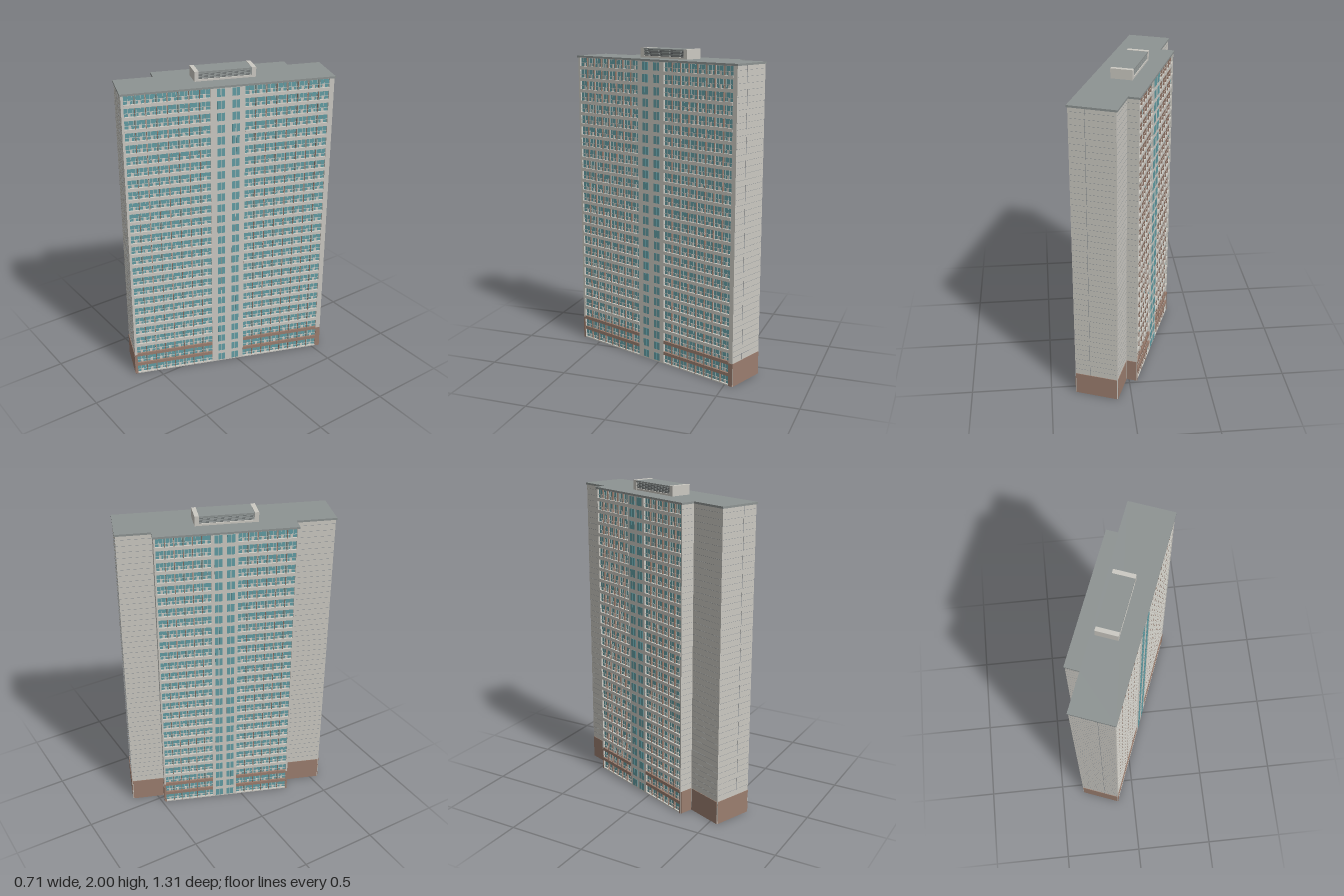
import * as THREE from 'three';
import { mergeGeometries } from 'three/addons/utils/BufferGeometryUtils.js';

const mat = (name, color) => {
  const m = new THREE.MeshStandardMaterial({ color });
  m.name = name;
  return m;
};

// Local plan: x runs along the slab, z points out of the long unbroken facade.
const FLOORS = 26, PITCH = 0.0746, WALL_TOP = 1.928, RECESS = 0.014;
const EAST = 0.125, WEST = -0.218;
const eastBlocks = [[-0.625, -0.119], [0.092, 0.61]];
const westBlocks = [[-0.39, -0.05], [0.108, 0.423]];

export function createModel() {
  const light = mat('pale concrete', 0xcbc9c2);
  const brown = mat('brown cladding', 0x9b7e6f);
  const teal = mat('teal glass', 0x629da4);
  const roofGrey = mat('roof grey', 0x8d9392);
  const seamGrey = mat('seam grey', 0x8b9094);
  const louverGrey = mat('louver grey', 0x5c6062);

  const model = new THREE.Group();
  model.name = 'apartmentTower';
  const tower = new THREE.Group();
  tower.name = 'tower';
  tower.rotation.y = 1.2055;
  model.add(tower);

  // Boxes are gathered by part name, then merged into one mesh each
  const parts = new Map();
  const add = (name, material, geo) => {
    if (!parts.has(name)) parts.set(name, { material, geos: [] });
    parts.get(name).geos.push(geo);
  };
  const box = (name, material, x0, x1, y0, y1, z0, z1) => {
    const geo = new THREE.BoxGeometry(x1 - x0, y1 - y0, Math.abs(z1 - z0));
    geo.translate((x0 + x1) / 2, (y0 + y1) / 2, (z0 + z1) / 2);
    add(name, material, geo);
  };
  const prism = (name, material, pts, y0, y1) => {
    const shape = new THREE.Shape(pts.map(([x, z]) => new THREE.Vector2(x, -z)));
    const geo = new THREE.ExtrudeGeometry(shape, { depth: y1 - y0, bevelEnabled: false });
    geo.rotateX(-Math.PI / 2);
    geo.translate(0, y0, 0);
    const mesh = new THREE.Mesh(geo, material);
    mesh.name = name;
    tower.add(mesh);
  };

  // Main body, with shallow recesses for the balcony blocks
  const recess = (blocks, z, sign) => blocks.flatMap(([a, b]) => {
    const inner = z - sign * RECESS;
    return sign > 0 ? [[a, z], [a, inner], [b, inner], [b, z]] : [[b, z], [b, inner], [a, inner], [a, z]];
  });
  const north = [[0.64, EAST], [0.64, -0.148], [0.433, -0.148], [0.433, WEST]];
  const south = [[-0.4, WEST], [-0.4, -0.13], [-0.64, -0.13], [-0.64, EAST]];
  prism('walls', light, [
    ...recess(eastBlocks, EAST, 1), ...north,
    ...recess([...westBlocks].reverse(), WEST, -1), ...south,
  ], 0, WALL_TOP);

  // Overhanging roof cap
  prism('roofCap', roofGrey, [
    [-0.646, 0.131], [0.645, 0.131], [0.645, -0.154], [0.438, -0.154],
    [0.438, -0.223], [-0.405, -0.223], [-0.405, -0.135], [-0.646, -0.135],
  ], WALL_TOP, 1.94);

  // Plain end walls: brown plinth and fine panel seams
  const plate = (name, material, a, b, inset, y0, y1, thick) => {
    const dx = b[0] - a[0], dz = b[1] - a[1], len = Math.hypot(dx, dz);
    const geo = new THREE.BoxGeometry(len - 2 * inset, y1 - y0, thick);
    geo.rotateY(Math.atan2(-dz, dx));
    geo.translate((a[0] + b[0]) / 2 - dz / len * thick / 2, (y0 + y1) / 2,
      (a[1] + b[1]) / 2 + dx / len * thick / 2);
    add(name, material, geo);
  };
  for (const run of [north, south]) {
    for (let i = 0; i < 3; i++) {
      plate('brownPlinth', brown, run[i], run[i + 1], 0.004, 0, 0.148, 0.003);
      for (let y = PITCH * 2.5; y < WALL_TOP - 0.01; y += PITCH / 2) {
        plate('panelSeams', seamGrey, run[i], run[i + 1], 0.004, y, y + 0.0012, 0.0008);
      }
    }
  }
  // Vertical seam on each end wall
  box('panelSeams', seamGrey, -0.641, -0.64, 0.15, WALL_TOP, 0.028, 0.03);
  box('panelSeams', seamGrey, 0.64, 0.641, 0.15, WALL_TOP, 0.028, 0.03);

  // Balcony blocks: glass, floor bands, window sills, posts and fins
  const balconyBlock = ([a, b], face, sign, bays) => {
    const back = face - sign * RECESS;
    const at = d => back + sign * d;
    const w = (b - a) / bays;
    box('glazing', teal, a, b, 0.004, WALL_TOP, back, at(0.002));
    box('floorBands', light, a, b, 0, 0.0075, back, at(RECESS));
    for (let f = 0; f < FLOORS; f++) {
      const y = f * PITCH, low = f < 2;
      const top = Math.min(y + 0.082, WALL_TOP);
      box(low ? 'brownBands' : 'floorBands', low ? brown : light,
        a, b, y + 0.061, top, back, at(RECESS + 0.001));
      // Thin handrail
      box('handrails', light, a, b, y + 0.0285, y + 0.031, at(0.009), at(0.011));
      for (let i = 0; i < bays; i++) {
        const x = a + i * w;
        for (const [s, e] of [[0.2, 0.32], [0.68, 0.8]]) {
          box('windowSills', light, x + s * w, x + e * w, y + 0.0075, y + 0.029, back, at(0.004));
        }
        for (const s of [0.2, 0.42, 0.58, 0.8]) {
          box('mullions', light, x + s * w - 0.001, x + s * w + 0.001, y + 0.0075, y + 0.061, back, at(0.004));
        }
      }
    }
    for (let i = 0; i < bays; i++) {
      const x = a + i * w;
      if (i) {
        box('bayPosts', light, x - 0.005, x + 0.005, 0.15, WALL_TOP, back, at(0.006));
        box('brownFins', brown, x - 0.002, x + 0.002, 0, WALL_TOP, back, at(RECESS));
      }
      box('brownFins', brown, x + w / 2 - 0.0018, x + w / 2 + 0.0018, 0, WALL_TOP, back, at(RECESS - 0.001));
    }
  };
  eastBlocks.forEach(r => balconyBlock(r, EAST, 1, 4));
  westBlocks.forEach(r => balconyBlock(r, WEST, -1, 3));

  // Brown corner strips at the foot of the long facades
  box('cornerPlinth', brown, -0.64, -0.625, 0, 0.148, EAST, EAST + 0.002);
  box('cornerPlinth', brown, 0.61, 0.64, 0, 0.148, EAST, EAST + 0.002);
  box('cornerPlinth', brown, -0.4, -0.39, 0, 0.148, WEST - 0.002, WEST);
  box('cornerPlinth', brown, 0.423, 0.433, 0, 0.148, WEST - 0.002, WEST);

  // Stair core windows, two columns of paired panes on each long side
  const coreWindows = (columns, face, sign) => {
    for (let f = 0; f < FLOORS; f++) {
      const y = f * PITCH;
      for (const [a, b] of columns) {
        const m = (a + b) / 2;
        box('coreWindows', teal, a, m - 0.002, y + 0.009, y + 0.058, face, face + sign * 0.002);
        box('coreWindows', teal, m + 0.002, b, y + 0.009, y + 0.058, face, face + sign * 0.002);
      }
    }
  };
  coreWindows([[-0.079, -0.033], [0.012, 0.058]], EAST, 1);
  coreWindows([[-0.03, 0.016], [0.042, 0.088]], WEST, -1);

  // Rooftop plant room: pale ends, louvered sides, grey lid
  box('plantRoomEnds', light, -0.188, -0.162, 1.935, 2, -0.113, 0.019);
  box('plantRoomEnds', light, 0.16, 0.186, 1.935, 2, -0.113, 0.019);
  box('plantRoomBase', light, -0.162, 0.16, 1.935, 1.952, -0.112, 0.018);
  box('plantRoomCore', louverGrey, -0.162, 0.16, 1.952, 1.99, -0.104, 0.01);
  box('plantRoomLid', roofGrey, -0.162, 0.16, 1.99, 1.998, -0.113, 0.019);
  for (let i = 0; i < 4; i++) {
    const y = 1.956 + i * 0.009;
    box('louvers', roofGrey, -0.162, 0.16, y, y + 0.005, 0.01, 0.016);
    box('louvers', roofGrey, -0.162, 0.16, y, y + 0.005, -0.11, -0.104);
  }

  for (const [name, { material, geos }] of parts) {
    const mesh = new THREE.Mesh(mergeGeometries(geos), material);
    mesh.name = name;
    tower.add(mesh);
  }
  return model;
}
